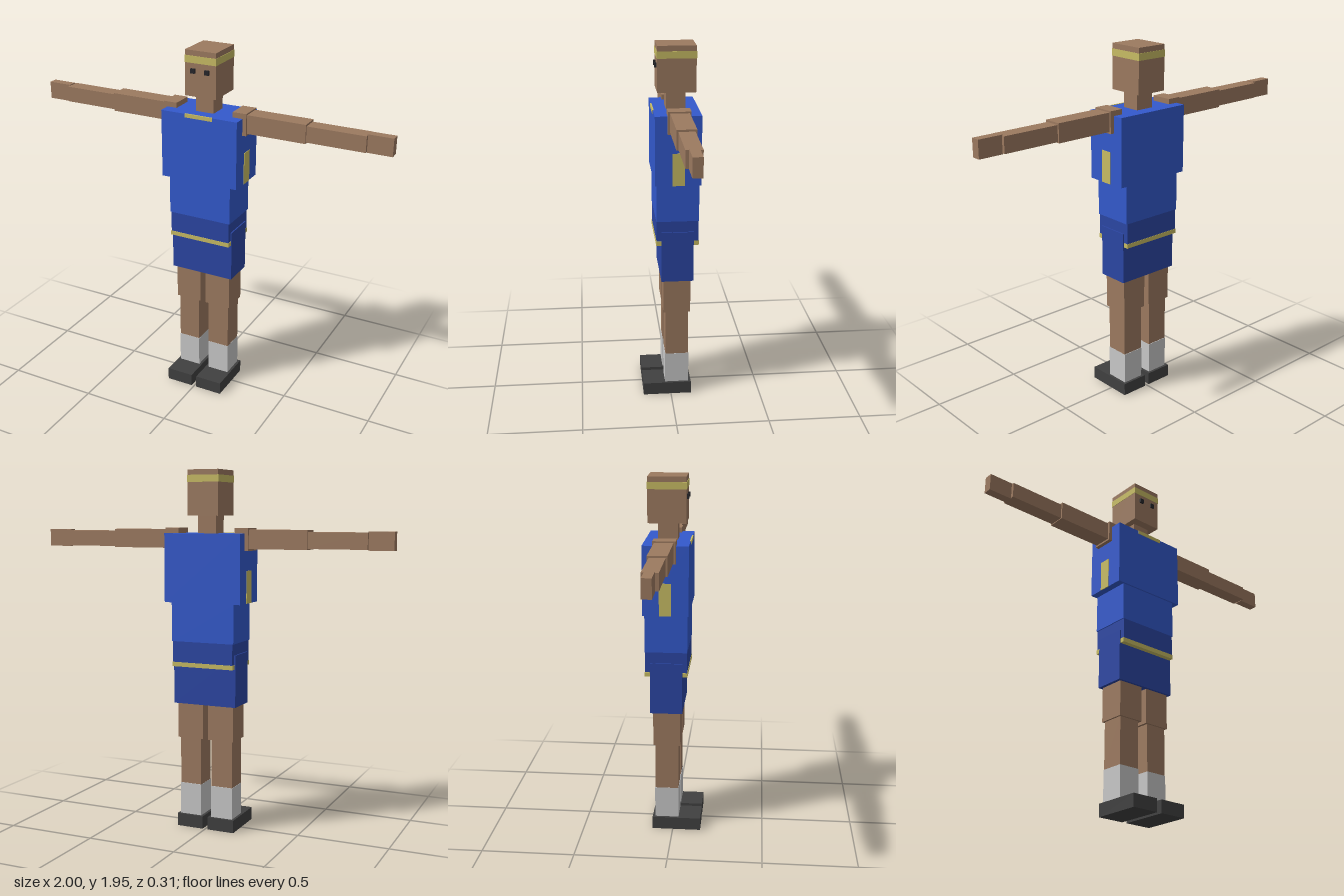
import * as THREE from 'three';

const mat = (name, color) => {
  const m = new THREE.MeshStandardMaterial({ color });
  m.name = name;
  return m;
};

export function createModel() {
  const skin = mat('skin', 0x9c7a60);
  const blue = mat('jersey blue', 0x3359cc);
  const navy = mat('shorts blue', 0x2b46a3);
  const gold = mat('gold trim', 0xc8bc64);
  const white = mat('sock grey', 0xc8c8c8);
  const dark = mat('shoe charcoal', 0x404040);
  const black = mat('eye black', 0x26262a);

  const model = new THREE.Group();
  model.name = 'athlete';

  // Box given by its extents on each axis
  const box = (parent, name, material, [x0, x1], [y0, y1], [z0, z1]) => {
    const mesh = new THREE.Mesh(new THREE.BoxGeometry(x1 - x0, y1 - y0, z1 - z0), material);
    mesh.position.set((x0 + x1) / 2, (y0 + y1) / 2, (z0 + z1) / 2);
    mesh.name = name;
    parent.add(mesh);
  };
  const group = (name) => {
    const g = new THREE.Group();
    g.name = name;
    model.add(g);
    return g;
  };

  // Head
  const head = group('head');
  box(head, 'skull', skin, [-0.088, 0.088], [1.712, 1.952], [-0.137, 0.065]);
  box(head, 'headband', gold, [-0.09, 0.09], [1.887, 1.924], [-0.139, 0.067]);
  box(head, 'neck', skin, [-0.052, 0.052], [1.6, 1.712], [-0.085, 0.018]);

  // Jersey and shorts
  const body = group('body');
  box(body, 'chest', blue, [-0.219, 0.219], [1.252, 1.62], [-0.153, 0.088]);
  box(body, 'collar', gold, [-0.08, 0.08], [1.602, 1.622], [0.083, 0.091]);
  box(body, 'abdomen', blue, [-0.18, 0.18], [1.042, 1.252], [-0.147, 0.079]);
  box(body, 'hips', navy, [-0.174, 0.174], [0.92, 1.042], [-0.146, 0.078]);
  box(body, 'shorts', navy, [-0.181, 0.181], [0.698, 0.98], [-0.12, 0.053]);
  box(body, 'waistband', gold, [-0.177, 0.177], [0.905, 0.929], [-0.148, 0.08]);

  // Paired parts, mirrored across x
  for (const [side, s] of [['left', 1], ['right', -1]]) {
    const span = (a, b) => (s > 0 ? [a, b] : [-b, -a]);

    box(head, side + 'Eye', black, span(0.028, 0.052), [1.835, 1.859], [0.06, 0.076]);
    box(body, side + 'SidePanel', gold, span(0.216, 0.222), [1.252, 1.425], [-0.066, -0.002]);

    const arm = group(side + 'Arm');
    box(arm, 'shoulder', skin, span(0.163, 0.24), [1.53, 1.648], [-0.096, 0.023]);
    box(arm, 'upperArm', skin, span(0.23, 0.56), [1.54, 1.64], [-0.087, 0.012]);
    box(arm, 'forearm', skin, span(0.56, 0.87), [1.545, 1.63], [-0.078, 0.003]);
    box(arm, 'hand', skin, span(0.867, 1), [1.541, 1.635], [-0.062, -0.014]);

    const leg = group(side + 'Leg');
    box(leg, 'thigh', skin, span(0.016, 0.163), [0.505, 0.72], [-0.106, 0.04]);
    box(leg, 'shin', skin, span(0.031, 0.153), [0.246, 0.505], [-0.096, 0.03]);
    box(leg, 'sock', white, span(0.03, 0.154), [0.07, 0.246], [-0.099, 0.032]);
    box(leg, 'shoe', dark, span(0.015, 0.168), [0, 0.07], [-0.113, 0.154]);
  }

  return model;
}
